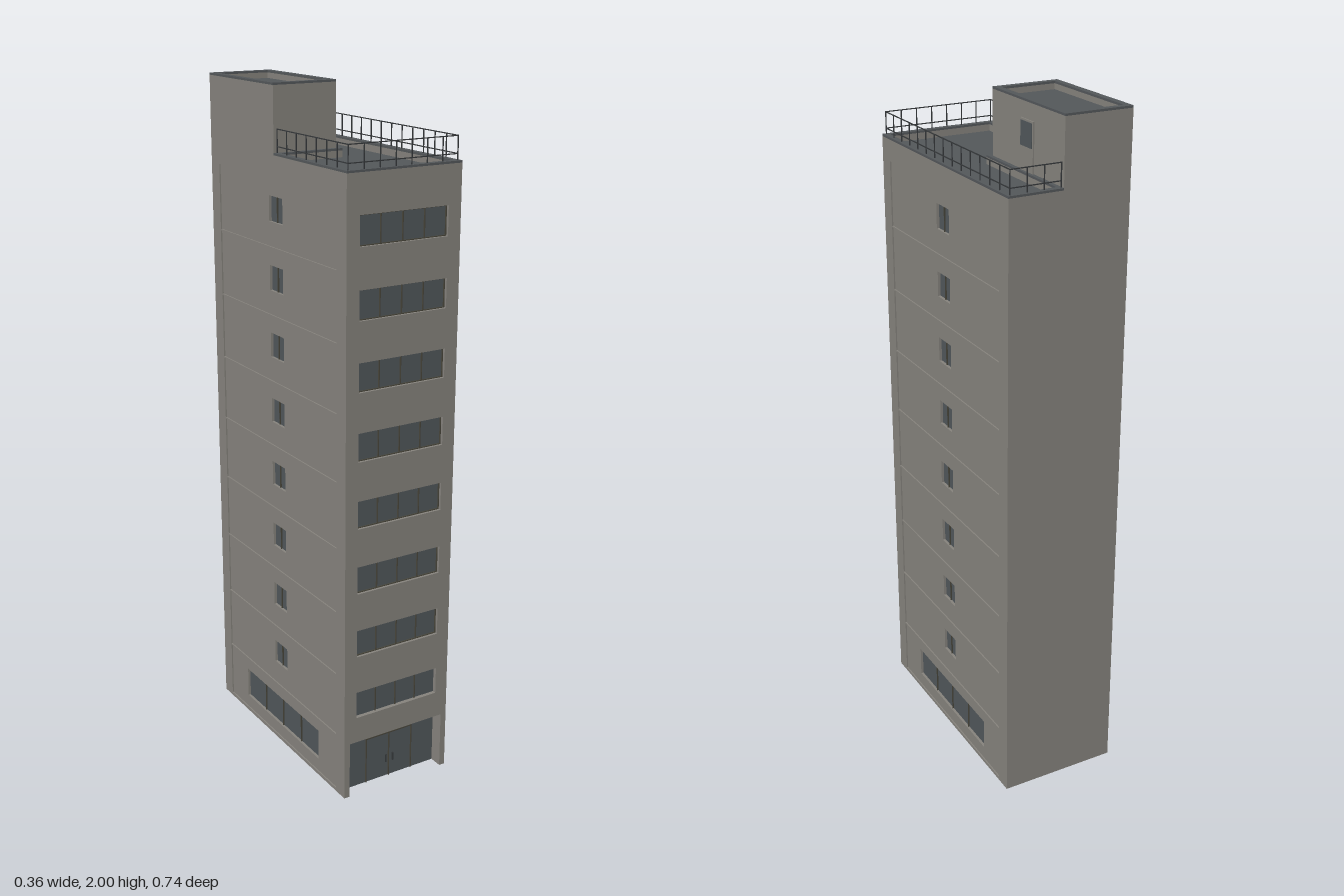
import * as THREE from 'three';

const mat = (name, color, side = THREE.FrontSide) => {
  const m = new THREE.MeshStandardMaterial({ color, side });
  m.name = name;
  return m;
};

export function createModel() {
  const model = new THREE.Group();
  model.name = 'officeBuilding';
  const wall = mat('concrete', 0x85827c);
  const roof = mat('roofing', 0x53575a);
  const glass = mat('glass', 0x50565a);
  const frame = mat('windowFrame', 0x47453a);
  const metal = mat('railingMetal', 0x35383a);

  const W = 0.178, D = 0.372, T = 0.018; // half width, half depth, wall thickness
  const DECK = 1.79, TOP = 1.815;
  const STOREY = 0.195, FIRST = 0.295, STOREYS = 8;

  const add = (name, geo, material, parent = model) => {
    const mesh = new THREE.Mesh(geo, material);
    mesh.name = name;
    parent.add(mesh);
    return mesh;
  };
  // box given by its two corners
  const box = (name, material, x0, x1, y0, y1, z0, z1, parent) => {
    const g = new THREE.BoxGeometry(x1 - x0, y1 - y0, z1 - z0);
    g.translate((x0 + x1) / 2, (y0 + y1) / 2, (z0 + z1) / 2);
    return add(name, g, material, parent);
  };
  const poly = (pts) => pts.map(([a, b]) => new THREE.Vector2(a, b));
  const rect = (u0, u1, v0, v1) => poly([[u0, v0], [u1, v0], [u1, v1], [u0, v1]]);
  // flat slab with openings
  const slab = (outer, holes, depth) => {
    const s = new THREE.Shape(outer);
    for (const h of holes) s.holes.push(new THREE.Path(h));
    return new THREE.ExtrudeGeometry(s, { depth, bevelEnabled: false });
  };
  // upright ring from plan outlines
  const ring = (name, material, outer, inner, y0, y1) => {
    const g = slab(outer, [inner], y1 - y0);
    g.rotateX(-Math.PI / 2).translate(0, y0, 0);
    return add(name, g, material);
  };
  // glazing with evenly spaced mullions, facing +z at z = 0
  const glazing = (name, u0, u1, v0, v1, panes, rim) => {
    const g = new THREE.Group();
    g.name = name;
    box('pane', glass, u0, u1, v0, v1, -0.004, 0, g);
    const t = 0.0025;
    for (let i = 0; i <= panes; i++) {
      if (!rim && (i === 0 || i === panes)) continue;
      const u = u0 + t / 2 + (i / panes) * (u1 - u0 - t);
      box('mullion', frame, u - t / 2, u + t / 2, v0, v1, 0, 0.004, g);
    }
    if (rim) {
      box('sill', frame, u0, u1, v0, v0 + t, 0, 0.004, g);
      box('head', frame, u0, u1, v1 - t, v1, 0, 0.004, g);
    }
    return g;
  };
  const levels = Array.from({ length: STOREYS }, (_, i) => FIRST + i * STOREY);

  // front wall with a window strip on each storey
  const frontHoles = levels.map((y) => rect(-0.138, 0.138, y - 0.041, y + 0.041));
  add('frontWall', slab(rect(-W + T, W - T, 0.175, DECK), frontHoles, T), wall).position.z = D - T;
  levels.forEach((y, i) => {
    const w = glazing('frontWindow', -0.138, 0.138, y - 0.041, y + 0.041, 4, i > 0);
    w.position.z = D - 0.012;
    model.add(w);
  });

  // recessed entrance with double doors
  const entrance = glazing('entrance', -W + T, W - T, 0, 0.178, 4, false);
  for (const s of [-1, 1]) {
    box('doorHandle', metal, s * 0.012 - 0.002, s * 0.012 + 0.002, 0.05, 0.075, 0.004, 0.008, entrance);
  }
  box('doorTransom', frame, -0.08, 0.08, 0.144, 0.147, 0, 0.004, entrance);
  entrance.position.z = D - 0.04;
  model.add(entrance);
  // inner face of the entrance and ground floor ceiling
  box('entranceCeiling', wall, -W + T, W - T, 0.178, 0.188, -D + T, D - T);

  // side walls: pierced core plus a thin skin of piers and storey bands
  const sideHoles = levels.map((y) => rect(-0.037, 0.037, y - 0.036, y + 0.036));
  sideHoles.push(rect(-0.22, 0.22, 0.05, 0.145));
  const panels = [rect(-0.325, 0.325, 0.01, 0.186)];
  for (let i = 0; i < STOREYS; i++) {
    panels.push(rect(-0.325, 0.325, 0.19 + i * STOREY, 0.186 + (i + 1) * STOREY));
  }
  for (const s of [1, -1]) {
    const side = new THREE.Group();
    side.name = s > 0 ? 'leftSide' : 'rightSide';
    const skin = 0.004;
    add('sideWall', slab(rect(-D, D, 0, DECK), sideHoles, T - skin), wall, side).position.z = W - T;
    add('sidePiers', slab(rect(-D, D, 0, DECK), panels, skin), wall, side).position.z = W - skin;
    for (const y of levels) {
      const w = glazing('sideWindow', -0.037, 0.037, y - 0.036, y + 0.036, 2, false);
      w.position.z = W - 0.012;
      side.add(w);
    }
    const shop = glazing('groundWindow', -0.22, 0.22, 0.05, 0.145, 4, false);
    shop.position.z = W - 0.012;
    side.add(shop);
    side.rotation.y = (s * Math.PI) / 2;
    model.add(side);
  }

  // plain back wall
  box('backWall', wall, -W + T, W - T, 0, DECK, -D, -D + T);

  // roof deck and L-shaped parapet around the stair tower
  const TX = 0.02;
  box('roofDeck', roof, -W + T, W - T, DECK - 0.02, DECK, -D + T, D - T);
  const outerL = poly([[-W, -D], [W, -D], [W, D], [TX, D], [TX, 0], [-W, 0]]);
  const innerL = poly([
    [-W + T, -D + T], [W - T, -D + T], [W - T, D - T],
    [TX + 0.012, D - T], [TX + 0.012, -0.013], [-W + T, -0.013],
  ]);
  ring('parapet', wall, outerL, innerL, DECK, TOP - 0.006);
  ring('parapetCap', roof, outerL, innerL, TOP - 0.006, TOP);

  // stair tower with its own parapet
  box('stairTower', wall, -W, TX, DECK, 1.975, -D, 0);
  box('towerRoof', roof, -W + T, TX - T, 1.975, 1.978, -D + T, -T);
  const towerOuter = rect(-W, TX, 0, D);
  const towerInner = rect(-W + T, TX - T, T, D - T);
  ring('towerParapet', wall, towerOuter, towerInner, 1.975, 1.994);
  ring('towerCap', roof, towerOuter, towerInner, 1.994, 2);

  // tower door with a glazed upper half
  box('towerDoor', wall, TX, TX + 0.004, TOP, 1.95, -0.222, -0.155);
  box('towerDoorGlass', glass, TX + 0.004, TX + 0.006, 1.88, 1.945, -0.217, -0.16);

  // railing along the parapet
  const railing = new THREE.Group();
  railing.name = 'railing';
  const r = 0.0013, RX = W - 0.009, RZ = D - 0.009, RT = 1.88;
  const path = [[-RX, 0.004], [-RX, RZ], [RX, RZ], [RX, -RZ], [TX + 0.003, -RZ]];
  for (let i = 0; i < path.length - 1; i++) {
    const [ax, az] = path[i], [bx, bz] = path[i + 1];
    const n = Math.round(Math.hypot(bx - ax, bz - az) / 0.052);
    for (const y of [1.832, RT - r]) {
      box('rail', metal, Math.min(ax, bx) - r, Math.max(ax, bx) + r, y - r, y + r,
        Math.min(az, bz) - r, Math.max(az, bz) + r, railing);
    }
    for (let k = i ? 1 : 0; k <= n; k++) {
      const x = ax + ((bx - ax) * k) / n, z = az + ((bz - az) * k) / n;
      box('post', metal, x - r, x + r, TOP - 0.002, RT, z - r, z + r, railing);
    }
  }
  model.add(railing);

  return model;
}
